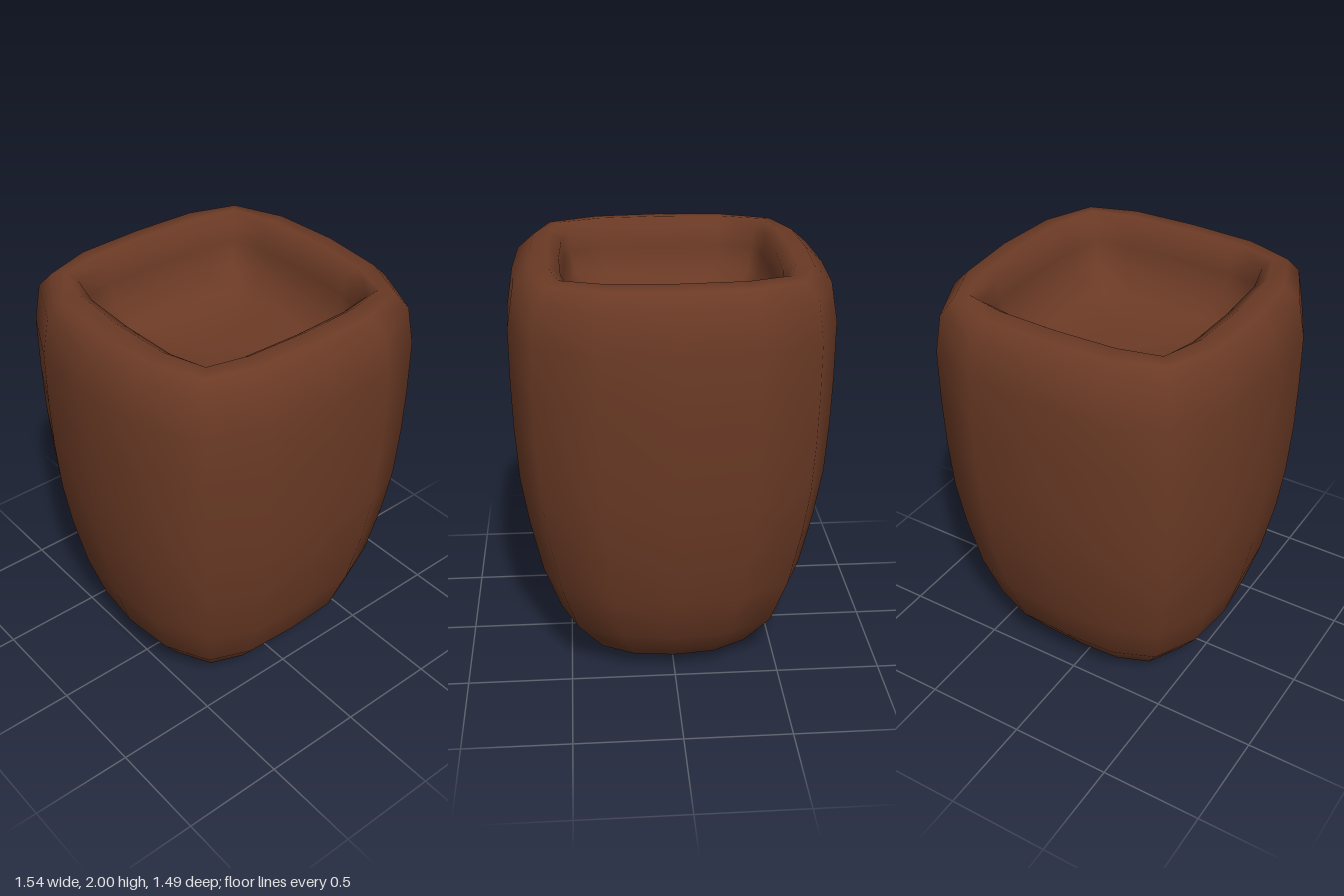
import * as THREE from 'three';
import { mergeVertices } from 'three/addons/utils/BufferGeometryUtils.js';

// Rings from the underside, up the outer wall, over the rim and down to the inner floor:
// [half width x, half depth z, height y, squareness 0..1]
const RINGS = [
  [0, 0, 0, 0], [0.25, 0.235, 0.015, 0], [0.46, 0.42, 0.09, 0], [0.59, 0.555, 0.27, 0],
  [0.66, 0.635, 0.5, 0], [0.715, 0.69, 0.77, 0], [0.745, 0.725, 1.0, 0], [0.762, 0.74, 1.25, 0],
  [0.768, 0.746, 1.48, 0], [0.768, 0.746, 1.74, 0], [0.735, 0.715, 1.92, 0.05],
  [0.66, 0.635, 1.99, 0.3], [0.57, 0.555, 2.0, 0.7], [0.512, 0.5, 1.96, 0.95],
  [0.496, 0.487, 1.87, 1], [0.475, 0.465, 1.76, 1], [0.39, 0.38, 1.67, 0.9],
  [0.22, 0.215, 1.625, 0.8], [0, 0, 1.615, 0],
];

// One quarter of a soft square, from the middle of a side to just before the next middle
function quarter(k) {
  const mix = (a, b) => a + (b - a) * k;
  const q = mix(0.46, 0.57), x = mix(0.775, 0.89), z = mix(0.835, 0.92);
  return [[1, 0], [mix(0.955, 0.98), q], [x, z], [q - 0.02, 0.98]];
}

// All sixteen points of a ring, mirrored from the quarter
function ringPoints([hx, hz, y, k]) {
  const p = quarter(k);
  const half = [...p, [0, 1], ...p.slice(1).reverse().map(([x, z]) => [-x, z])];
  const all = [...half, ...half.map(([x, z]) => [-x, -z])];
  return all.map(([x, z]) => [x * hx, y, z * hz]);
}

export function createModel() {
  const group = new THREE.Group();
  group.name = 'planter';

  const rings = RINGS.map(ringPoints);
  const n = rings[0].length;
  const index = [];
  for (let i = 0; i < rings.length - 1; i++) {
    for (let j = 0; j < n; j++) {
      const a = i * n + j, b = a + n;
      const c = i * n + ((j + 1) % n), d = c + n;
      if (i < rings.length - 2) index.push(a, b, d);
      else index.push(a, b, c);
      if (i > 0 && i < rings.length - 2) index.push(a, d, c);
    }
  }

  // Smooth closed shell, with the centre points of the floors welded
  let shell = new THREE.BufferGeometry();
  shell.setAttribute('position', new THREE.Float32BufferAttribute(rings.flat(2), 3));
  shell.setIndex(index);
  shell = mergeVertices(shell);
  shell.computeVertexNormals();

  const pot = new THREE.Mesh(shell, new THREE.MeshStandardMaterial({ color: 0x6b3a25 }));
  pot.name = 'pot';
  group.add(pot);
  return group;
}
